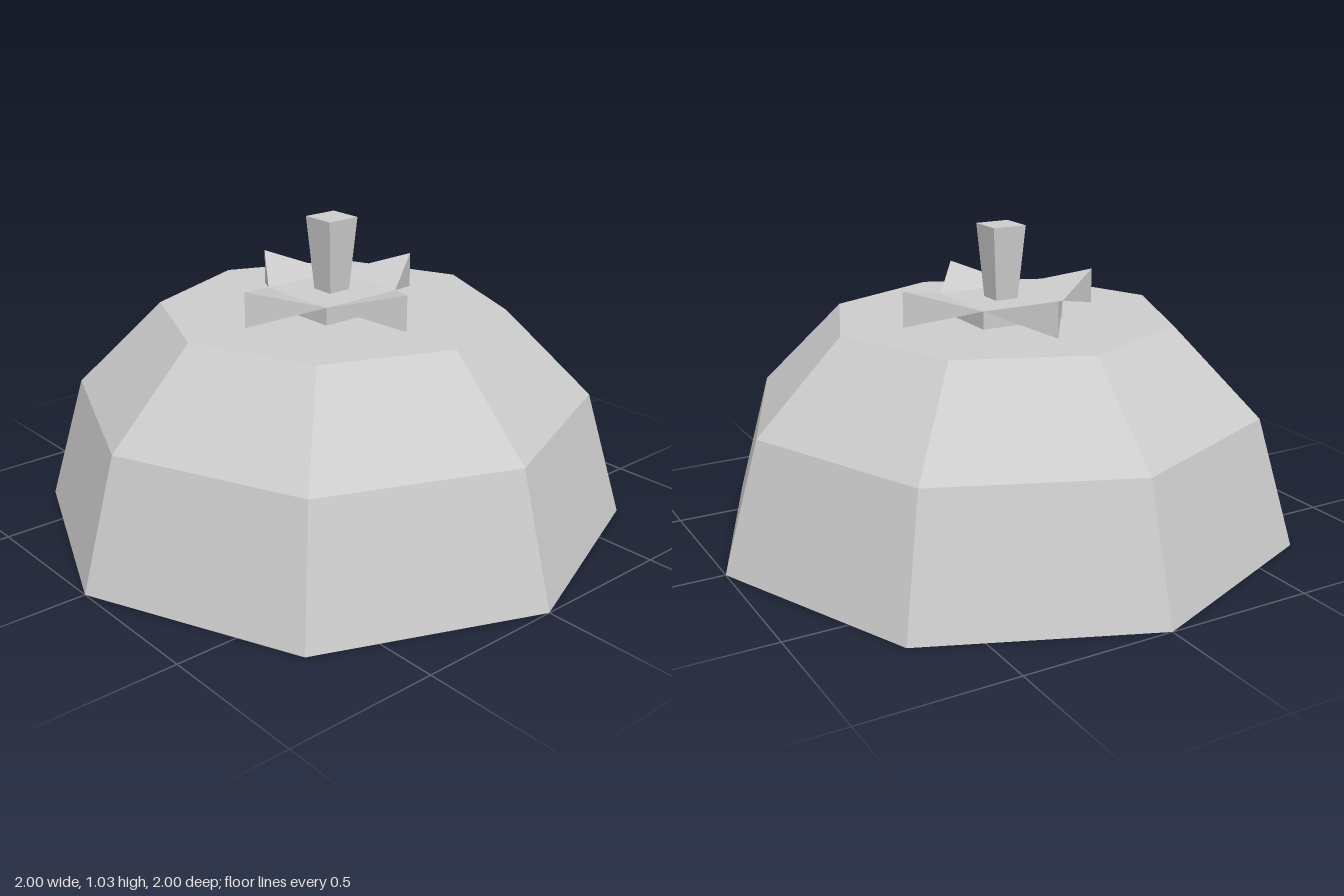
import * as THREE from 'three';

export function createModel() {
  const model = new THREE.Group();
  const grey = new THREE.MeshStandardMaterial({ color: 0xcccccc });
  grey.name = 'light grey';

  // Faceted mesh: split the faces so that each has its own flat normal
  const add = (name, geometry, parent = model) => {
    const flat = geometry.index ? geometry.toNonIndexed() : geometry;
    flat.computeVertexNormals();
    const mesh = new THREE.Mesh(flat, grey);
    mesh.name = name;
    parent.add(mesh);
    return mesh;
  };

  // Eight-sided dome, closed below and flat on top
  const profile = [[0, 0], [1, 0], [0.875, 0.432], [0.583, 0.725], [0, 0.725]];
  add('dome', new THREE.LatheGeometry(profile.map(([r, y]) => new THREE.Vector2(r, y)), 8));

  // Square centre of the leafy crown
  const crown = new THREE.Group();
  crown.name = 'crown';
  model.add(crown);
  add('crownCentre', new THREE.BoxGeometry(0.3, 0.06, 0.3).translate(0, 0.755, 0), crown);

  // Four leaves, each flaring from a flat edge to an upright tip
  const a = [-0.15, 0.785, 0.15], b = [0.15, 0.785, 0.15];
  const top = [0, 0.845, 0.363], low = [0, 0.725, 0.363];
  const faces = [a, top, b, a, b, low, a, low, top, b, top, low];
  for (let i = 0; i < 4; i++) {
    const leaf = new THREE.BufferGeometry();
    leaf.setAttribute('position', new THREE.Float32BufferAttribute(faces.flat(), 3));
    add('leaf', leaf.rotateY(i * Math.PI / 2), crown);
  }

  // Square stem, wider at the top
  const stem = new THREE.CylinderGeometry(0.06 * Math.SQRT2, 0.041 * Math.SQRT2, 0.247, 4);
  add('stem', stem.rotateY(Math.PI / 4).translate(0, 0.9085, 0));

  return model;
}
